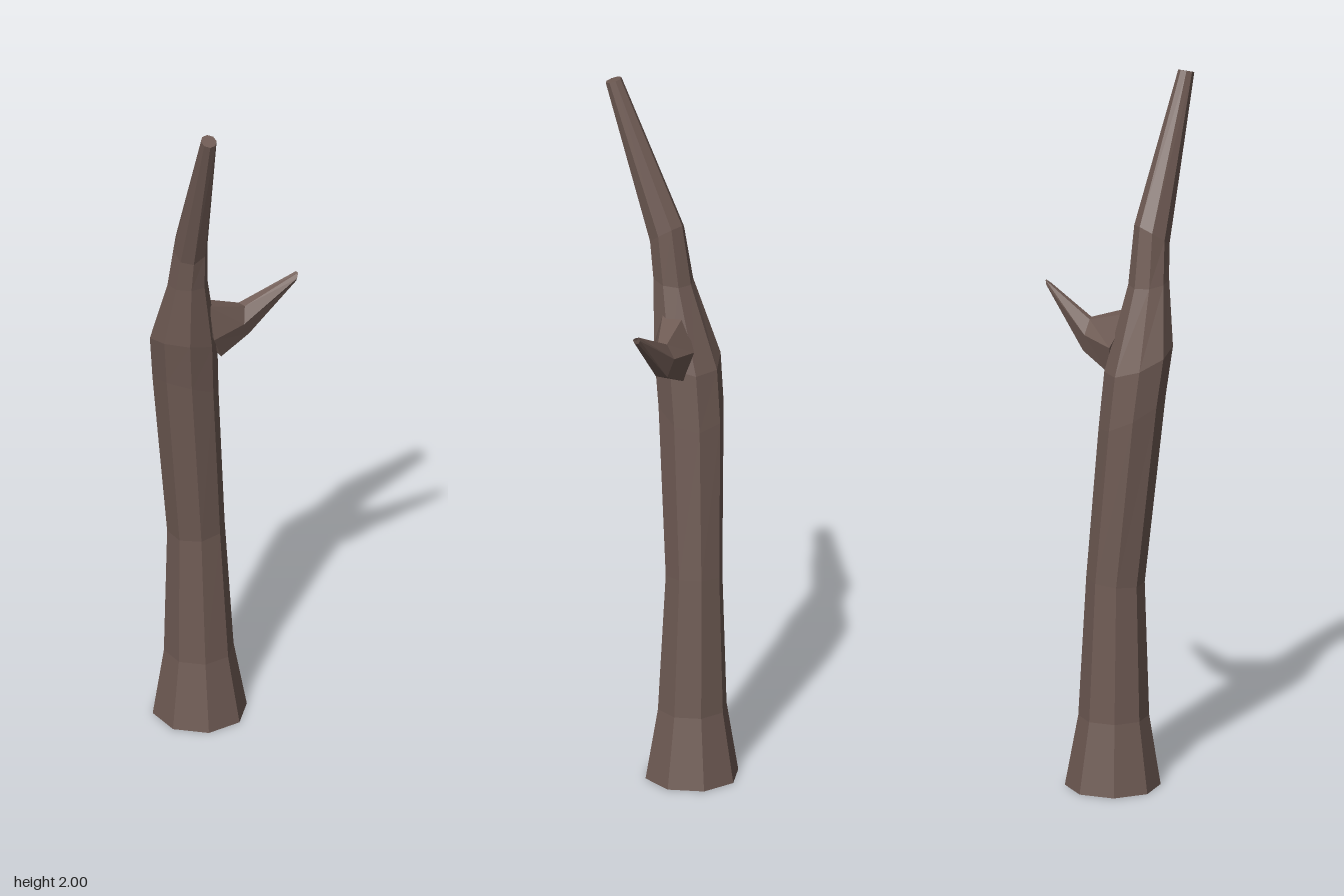
import * as THREE from 'three';

const bark = new THREE.MeshStandardMaterial({ color: 0x6f5b54, flatShading: true });

// Faceted skin over a list of rings (arrays of Vector3), capped at both ends
function loft(rings, name) {
  const pos = [];
  const tri = (...pts) => pts.forEach((p) => pos.push(p.x, p.y, p.z));
  const n = rings[0].length;
  const middle = (ring) => ring.reduce((s, p) => s.add(p), new THREE.Vector3()).divideScalar(n);
  const first = rings[0], last = rings[rings.length - 1];
  const bottom = middle(first), top = middle(last);
  for (let j = 0; j < n; j++) {
    const k = (j + 1) % n;
    for (let i = 0; i < rings.length - 1; i++) {
      const a = rings[i], b = rings[i + 1];
      tri(a[j], b[j], a[k]);
      tri(b[j], b[k], a[k]);
    }
    tri(bottom, first[j], first[k]);
    tri(top, last[k], last[j]);
  }
  const geo = new THREE.BufferGeometry();
  geo.setAttribute('position', new THREE.Float32BufferAttribute(pos, 3));
  geo.computeVertexNormals();
  const mesh = new THREE.Mesh(geo, bark);
  mesh.name = name;
  return mesh;
}

// Eight-sided ring, tilted by its rise per unit of x and z
function octagon([x, y, z, r, tiltX = 0, tiltZ = 0]) {
  return Array.from({ length: 8 }, (_, i) => {
    const a = THREE.MathUtils.degToRad(31.5 + 45 * i);
    const dx = r * Math.cos(a), dz = r * Math.sin(a);
    return new THREE.Vector3(x + dx, y + dx * tiltX + dz * tiltZ, z + dz);
  });
}

export function createModel() {
  const group = new THREE.Group();
  group.name = 'deadTree';

  // Leaning trunk: x, y, z, radius, tilt in x, tilt in z
  const trunk = [
    [-0.054, 0, 0.018, 0.131],
    [-0.055, 0.2, 0.021, 0.097],
    [-0.06, 0.59, 0.027, 0.08, 0, -0.1],
    [-0.053, 1.07, 0.072, 0.092, 0.15, 0.5],
    [-0.043, 1.22, 0.088, 0.094, 0.2, 0.35],
    [-0.005, 1.43, 0.108, 0.056, 0.1, 0.1],
    [0.012, 1.56, 0.113, 0.048, -0.5, -0.5],
    [0.157, 1.99, 0.178, 0.022, -0.33, -0.1],
  ];
  group.add(loft(trunk.map(octagon), 'trunk'));

  // Broken side branch: six corners per section, from inside the trunk to the tip
  const branch = [
    [[0.025, 1.345, 0.055], [-0.035, 1.345, 0.055], [-0.06, 1.25, 0.01],
      [-0.03, 1.17, 0.0], [0.035, 1.175, 0.02], [0.05, 1.25, 0.06]],
    [[0.041, 1.305, -0.062], [0.016, 1.305, -0.062], [-0.004, 1.265, -0.072],
      [0.015, 1.215, -0.08], [0.046, 1.215, -0.073], [0.056, 1.26, -0.046]],
    [[0.104, 1.383, -0.202], [0.095, 1.384, -0.202], [0.092, 1.373, -0.2],
      [0.097, 1.362, -0.196], [0.107, 1.362, -0.191], [0.112, 1.373, -0.191]],
  ];
  group.add(loft(branch.map((ring) => ring.map((p) => new THREE.Vector3(...p))), 'sideBranch'));

  return group;
}
